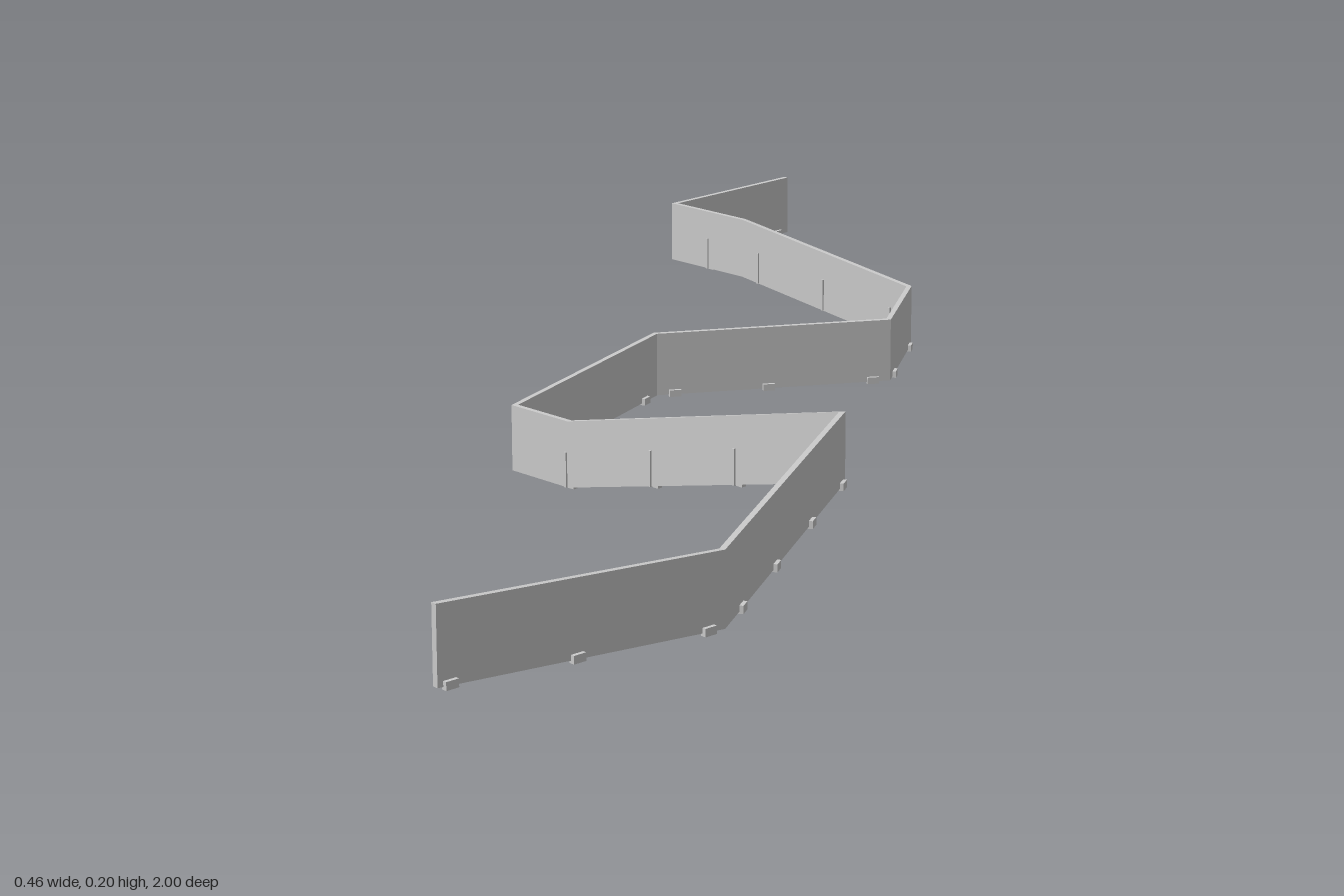
import * as THREE from 'three';

const HEIGHT = 0.075, THICK = 0.006;

// Path of the fence base: x, y, z (corners and changes of slope)
const PATH = [
  [0.075, 0.037, -1], [-0.07, 0.037, -0.845], [0.02, 0.037, -0.755], [0.224, 0.002, -0.55],
  [0.194, 0.002, -0.392], [-0.082, 0.002, -0.324], [-0.228, 0.002, -0.02], [-0.165, 0.002, 0.042],
  [0.124, 0.097, 0.329], [0.008, 0.097, 0.77], [-0.231, 0.124, 0.998],
].map(p => new THREE.Vector3(...p));

// Where posts stand along each span, as fractions of its length
const POSTS = [
  [0.1, 0.5, 0.9], [0.5], [0.1, 0.5, 0.9], [0.1, 0.85], [0.07, 0.52, 0.92],
  [0.1, 0.5, 0.88], [0.97], [0.32, 0.63, 0.95], [0.03, 0.31, 0.61, 0.88], [0.06, 0.53, 0.96],
];

// Horizontal unit normal of span i
function spanNormal(i) {
  const d = PATH[i + 1].clone().sub(PATH[i]).setY(0).normalize();
  return new THREE.Vector3(d.z, 0, -d.x);
}

// Rectangular section at point i, mitred between neighbouring spans
function section(i) {
  const last = PATH.length - 1;
  const a = spanNormal(Math.max(0, i - 1)), b = spanNormal(Math.min(last - 1, i));
  const m = a.clone().add(b).normalize();
  m.multiplyScalar(THICK / 2 / m.dot(b));
  const up = new THREE.Vector3(0, HEIGHT, 0), p = PATH[i];
  return [p.clone().add(m), p.clone().sub(m), p.clone().sub(m).add(up), p.clone().add(m).add(up)];
}

// Closed slab between two sections
function panelGeometry(s, e) {
  const pos = [];
  const quad = (a, b, c, d) => [a, b, c, a, c, d].forEach(v => pos.push(v.x, v.y, v.z));
  for (let k = 0; k < 4; k++) {
    const n = (k + 1) % 4;
    quad(s[k], s[n], e[n], e[k]);
  }
  quad(s[3], s[2], s[1], s[0]);
  quad(e[0], e[1], e[2], e[3]);
  const g = new THREE.BufferGeometry();
  g.setAttribute('position', new THREE.Float32BufferAttribute(pos, 3));
  g.computeVertexNormals();
  return g;
}

export function createModel() {
  const group = new THREE.Group();
  const mat = new THREE.MeshStandardMaterial({ color: 0xcccccc, flatShading: true, side: THREE.DoubleSide });
  const footGeo = new THREE.BoxGeometry(0.006, 0.008, 0.014);
  const stakeGeo = new THREE.BoxGeometry(0.003, 0.04, 0.003);

  const add = (geo, name, parent) => {
    const mesh = new THREE.Mesh(geo, mat);
    mesh.name = name;
    parent.add(mesh);
    return mesh;
  };

  for (let i = 0; i < PATH.length - 1; i++) {
    const span = new THREE.Group();
    span.name = `fenceSpan${i + 1}`;
    group.add(span);
    add(panelGeometry(section(i), section(i + 1)), 'panel', span);

    // Foot block on one side, short stake on the other
    const n = spanNormal(i);
    for (const t of POSTS[i]) {
      const post = new THREE.Group();
      post.name = 'post';
      post.position.lerpVectors(PATH[i], PATH[i + 1], t);
      post.rotation.y = Math.atan2(-n.z, n.x);
      span.add(post);
      add(footGeo, 'foot', post).position.set(0.004, 0.002, 0);
      add(stakeGeo, 'stake', post).position.set(-0.0035, 0.02, 0);
    }
  }
  return group;
}
